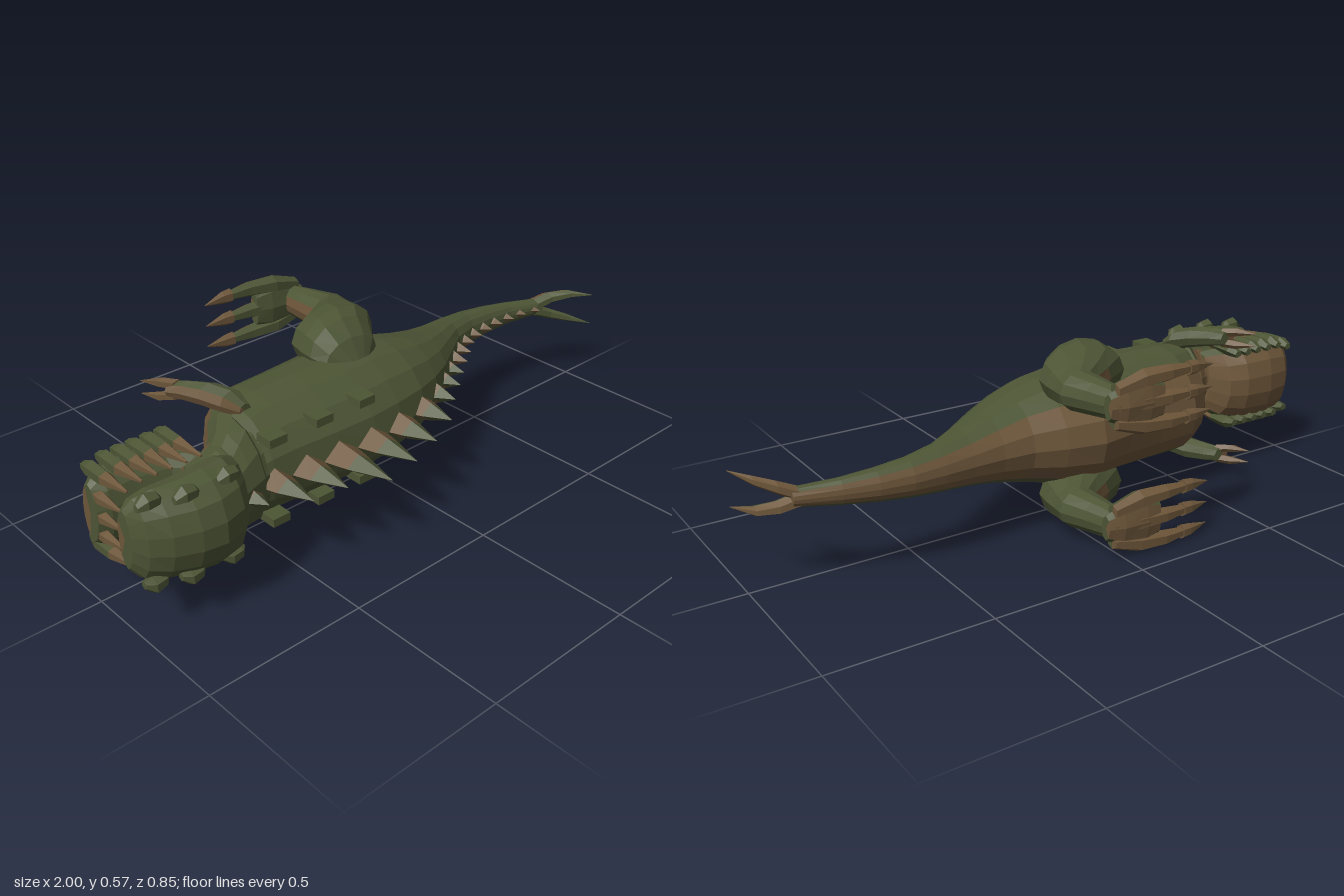
import * as THREE from 'three';

const green = new THREE.MeshStandardMaterial({ color: 0x4d5535 });
green.name = 'olive hide';
const brown = new THREE.MeshStandardMaterial({ color: 0x6d563a });
brown.name = 'brown belly';
const mats = [green, brown];

const AXES = {
  x: [new THREE.Vector3(0, 1, 0), new THREE.Vector3(0, 0, 1)],
  z: [new THREE.Vector3(1, 0, 0), new THREE.Vector3(0, 1, 0)],
};
const never = () => false;
// brown where the section angle points to the belly (-z) on lofts along x
const belly = (limit) => (i, c, s) => s < limit;

// Faceted loft: rings are [x, y, z, radiusU, radiusV] in planes square to the axis
function loft(name, rings, axis, sides, isBrown = never) {
  const [u, v] = AXES[axis];
  const last = rings[rings.length - 1];
  const k = axis === 'x' ? 0 : 2;
  const flip = last[k] < rings[0][k];
  const at = (i, j) => {
    const [x, y, z, a, b] = rings[i];
    const t = (j / sides) * Math.PI * 2;
    return new THREE.Vector3(x, y, z)
      .addScaledVector(u, Math.cos(t) * a).addScaledVector(v, Math.sin(t) * b);
  };
  const center = (i) => new THREE.Vector3(...rings[i].slice(0, 3));
  const buckets = [[], []];
  const tri = (m, a, b, c) => {
    for (const p of flip ? [a, c, b] : [a, b, c]) buckets[m].push(p.x, p.y, p.z);
  };
  for (let j = 0; j < sides; j++) {
    const t = ((j + 0.5) / sides) * Math.PI * 2;
    const mat = (i) => (isBrown(i, Math.cos(t), Math.sin(t)) ? 1 : 0);
    for (let i = 0; i < rings.length - 1; i++) {
      const a = at(i, j), b = at(i, j + 1), c = at(i + 1, j + 1), d = at(i + 1, j);
      tri(mat(i), a, b, c);
      tri(mat(i), a, c, d);
    }
    const n = rings.length - 1;
    tri(mat(0), center(0), at(0, j + 1), at(0, j));
    tri(mat(n - 1), center(n), at(n, j), at(n, j + 1));
  }
  const geo = new THREE.BufferGeometry();
  geo.setAttribute('position', new THREE.Float32BufferAttribute([...buckets[0], ...buckets[1]], 3));
  geo.addGroup(0, buckets[0].length / 3, 0);
  geo.addGroup(buckets[0].length / 3, buckets[1].length / 3, 1);
  geo.computeVertexNormals();
  const mesh = new THREE.Mesh(geo, mats);
  mesh.name = name;
  return mesh;
}

// Rings from [x, low z, high z, half width]
const spans = (list) => list.map(([x, lo, hi, w]) => [x, 0, (lo + hi) / 2, w, (hi - lo) / 2]);

function makeLeg(s) {
  const leg = new THREE.Group();
  leg.name = s > 0 ? 'upperSideLeg' : 'lowerSideLeg';
  const y = 0.187 * s;
  // thigh and shin, from hip to ankle
  leg.add(loft('thighAndShin', [
    [-0.1, y * 0.8, 0.065, 0.04, 0.02], [-0.1, y * 0.92, 0.03, 0.1, 0.06],
    [-0.095, y, -0.02, 0.125, 0.09], [-0.07, y, -0.07, 0.145, 0.1],
    [-0.055, y, -0.13, 0.145, 0.09], [-0.01, y, -0.18, 0.105, 0.072],
    [0.03, y, -0.22, 0.07, 0.062], [0.018, y, -0.3, 0.053, 0.057],
    [0.008, y, -0.38, 0.038, 0.05],
  ], 'z', 12, (i, c, n) => i > 4 && c < -0.8));
  // foot
  leg.add(loft('foot', [
    [0.05, y, -0.385, 0.04, 0.02], [0.0, y, -0.39, 0.065, 0.03],
    [-0.08, y, -0.395, 0.075, 0.03], [-0.13, y, -0.4, 0.06, 0.02],
  ], 'x', 8, belly(-0.5)));
  for (const t of [-1, 0, 1]) {
    // toe, then an arrow-shaped claw
    leg.add(loft('toe', [
      [0.03, y + t * 0.05, -0.39, 0.02, 0.024], [-0.06, y + t * 0.07, -0.395, 0.03, 0.032],
      [-0.15, y + t * 0.075, -0.405, 0.025, 0.025], [-0.23, y + t * 0.075, -0.405, 0.015, 0.015],
    ], 'x', 6, belly(-0.4)));
    leg.add(loft('toeClaw', [
      [-0.22, y + t * 0.075, -0.405, 0.024, 0.02], [-0.25, y + t * 0.075, -0.406, 0.021, 0.016],
      [-0.32, y + t * 0.07, -0.402, 0.001, 0.001],
    ], 'x', 6, () => true));
  }
  return leg;
}

function makeArm(s) {
  const arm = new THREE.Group();
  arm.name = s > 0 ? 'upperSideArm' : 'lowerSideArm';
  // short limb reaching forward and down to the hand
  arm.add(loft('forearm', [
    [-0.53, 0.165 * s, 0.07, 0.02, 0.02], [-0.55, 0.185 * s, 0.035, 0.04, 0.035],
    [-0.585, 0.2 * s, -0.02, 0.04, 0.035], [-0.62, 0.205 * s, -0.07, 0.032, 0.03],
    [-0.645, 0.205 * s, -0.105, 0.03, 0.025],
  ], 'z', 8, (i, c) => c < -0.7));
  for (const t of [-1, 1]) {
    arm.add(loft('handClaw', [
      [-0.64, (0.205 + t * 0.017) * s, -0.09, 0.02, 0.015],
      [-0.67, (0.205 + t * 0.022) * s, -0.125, 0.018, 0.014],
      [-0.705, (0.205 + t * 0.02) * s, -0.175, 0.001, 0.001],
    ], 'z', 5, () => true));
  }
  return arm;
}

export function createModel() {
  const model = new THREE.Group();
  model.name = 'recliningReptile';
  const beast = new THREE.Group();
  beast.name = 'reptile';
  beast.position.y = 0.29;
  model.add(beast);

  // body and tail in one tapering loft
  beast.add(loft('bodyAndTail', spans([
    [-0.59, -0.06, 0.2, 0.14], [-0.54, -0.13, 0.21, 0.17], [-0.46, -0.18, 0.215, 0.18],
    [-0.32, -0.19, 0.225, 0.182], [-0.18, -0.205, 0.23, 0.182], [-0.07, -0.225, 0.22, 0.18],
    [0.05, -0.2, 0.195, 0.165], [0.15, -0.167, 0.155, 0.14], [0.25, -0.16, 0.1, 0.112],
    [0.35, -0.162, 0.03, 0.088], [0.45, -0.167, -0.035, 0.072], [0.55, -0.168, -0.065, 0.06],
    [0.65, -0.155, -0.072, 0.05], [0.75, -0.13, -0.068, 0.04], [0.88, -0.09, -0.035, 0.028],
  ]), 'x', 16, belly(-0.7)));

  // neck and raised collar
  beast.add(loft('neck', spans([
    [-0.76, 0.04, 0.23, 0.1], [-0.68, 0.03, 0.24, 0.125], [-0.56, -0.04, 0.21, 0.145],
  ]), 'x', 14, belly(-0.6)));
  beast.add(loft('collar', spans([
    [-0.665, 0.03, 0.245, 0.13], [-0.63, 0.0, 0.235, 0.15],
    [-0.585, -0.07, 0.225, 0.168], [-0.575, -0.07, 0.215, 0.16],
  ]), 'x', 14, belly(-0.7)));

  // head and lower jaw
  beast.add(loft('head', spans([
    [-0.995, 0.13, 0.19, 0.09], [-0.97, 0.11, 0.235, 0.122], [-0.92, 0.1, 0.275, 0.135],
    [-0.85, 0.1, 0.305, 0.14], [-0.78, 0.1, 0.315, 0.146], [-0.71, 0.1, 0.295, 0.146],
    [-0.665, 0.11, 0.25, 0.125],
  ]), 'x', 14, belly(-0.7)));
  beast.add(loft('lowerJaw', spans([
    [-0.995, -0.04, 0.03, 0.09], [-0.96, -0.07, 0.05, 0.12], [-0.88, -0.085, 0.06, 0.133],
    [-0.78, -0.08, 0.08, 0.13], [-0.72, -0.055, 0.13, 0.12], [-0.69, 0.02, 0.15, 0.1],
  ]), 'x', 14, belly(-0.3)));

  // tail fork
  for (const s of [-1, 1]) {
    beast.add(loft('tailProng', [
      [0.86, 0.01 * s, -0.065, 0.022, 0.028], [0.91, 0.03 * s, -0.042, 0.02, 0.027],
      [0.96, 0.046 * s, 0.005, 0.014, 0.025], [1.0, 0.055 * s, 0.085, 0.001, 0.003],
    ], 'x', 6, belly(-0.4)));
  }

  // back spikes: [x, base z, tip z, half length]
  const spikes = [
    [-0.64, 0.21, 0.285, 0.04], [-0.54, 0.19, 0.35, 0.055], [-0.43, 0.2, 0.365, 0.06],
    [-0.315, 0.21, 0.42, 0.064], [-0.195, 0.21, 0.395, 0.064], [-0.075, 0.2, 0.355, 0.062],
    [0.045, 0.17, 0.3, 0.058], [0.145, 0.13, 0.22, 0.045], [0.225, 0.09, 0.165, 0.038],
    [0.295, 0.05, 0.115, 0.034], [0.36, 0.01, 0.07, 0.032], [0.42, -0.03, 0.03, 0.03],
    [0.48, -0.06, -0.01, 0.028], [0.54, -0.075, -0.03, 0.027], [0.6, -0.08, -0.04, 0.026],
    [0.66, -0.085, -0.045, 0.025], [0.72, -0.085, -0.045, 0.024], [0.78, -0.075, -0.04, 0.022],
    [0.84, -0.06, -0.028, 0.02],
  ];
  for (const [x, lo, hi, r] of spikes) {
    const w = Math.min(0.044, r * 0.9);
    beast.add(loft('backSpike', [
      [x, 0, lo, r, w], [x + 0.004, 0, lo + (hi - lo) * 0.4, r * 0.68, w * 0.7],
      [x + 0.015, 0, hi, 0.001, 0.001],
    ], 'z', 4, (i, c) => i === 0 || c < 0 && hi < 0.1));
  }

  for (const s of [-1, 1]) {
    beast.add(makeLeg(s), makeArm(s));
    // scutes along each flank of the back
    for (const x of [-0.53, -0.365, -0.205]) {
      const scute = new THREE.Mesh(new THREE.BoxGeometry(0.06, 0.026, 0.06), green);
      scute.name = 'scute';
      scute.position.set(x, 0.128 * s, 0.185);
      beast.add(scute);
    }
    // teeth along the jaw
    for (let i = 0; i < 6; i++) {
      const x = -0.965 + i * 0.046;
      const y = s * (i === 0 ? 0.118 : 0.13);
      beast.add(loft('tooth', [
        [x, y * 0.95, -0.065, 0.014, 0.012], [x, y, -0.03, 0.024, 0.022],
        [x, y, 0.04, 0.022, 0.02], [x + 0.006, y, 0.135, 0.004, 0.004],
      ], 'z', 5, (i2) => i2 === 2));
    }
    // knobs on the brow and snout
    for (const [x, z] of [[-0.95, 0.215], [-0.86, 0.25], [-0.73, 0.25]]) {
      beast.add(loft('browKnob', [
        [x - 0.035, 0.118 * s, z, 0.012, 0.012], [x - 0.01, 0.128 * s, z, 0.025, 0.028],
        [x + 0.025, 0.125 * s, z, 0.02, 0.022], [x + 0.04, 0.118 * s, z, 0.005, 0.005],
      ], 'x', 6));
    }
  }
  // front teeth
  for (const y of [-0.06, 0, 0.06]) {
    beast.add(loft('frontTooth', [
      [-0.975, y, -0.01, 0.02, 0.02], [-0.98, y, 0.04, 0.018, 0.018], [-0.975, y, 0.13, 0.003, 0.003],
    ], 'z', 5, () => true));
  }
  return model;
}
